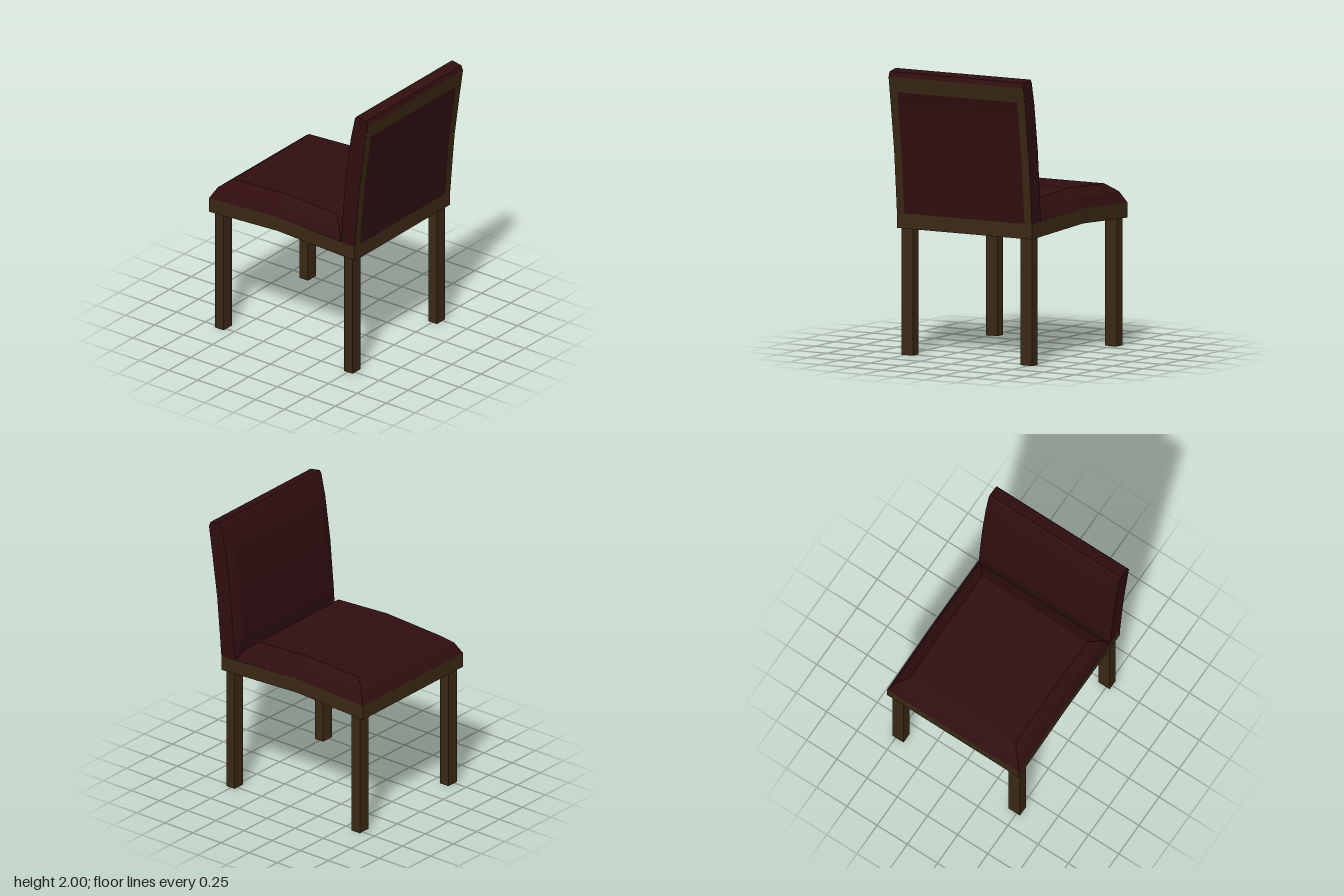
import * as THREE from 'three';

const HALF = 0.545; // half width of the chair along z

// Faces between stacked open or closed rings (counter-clockwise from above), with optional caps
function loft(rings, { closed = false, top = false, bottom = false } = {}) {
  const pos = [];
  const quad = (a, b, c, d) => pos.push(...a, ...b, ...c, ...a, ...c, ...d);
  for (let r = 0; r + 1 < rings.length; r++) {
    const a = rings[r], b = rings[r + 1], n = a.length;
    for (let i = 0; i < (closed ? n : n - 1); i++) {
      const j = (i + 1) % n;
      quad(a[i], a[j], b[j], b[i]);
    }
  }
  // Caps treat a six-point ring as two quads
  const cap = (p, flip) => {
    for (const q of [[0, 1, 4, 5], [1, 2, 3, 4]]) {
      if (flip) q.reverse();
      quad(...q.map((i) => p[i]));
    }
  };
  if (top) cap(rings[rings.length - 1], false);
  if (bottom) cap(rings[0], true);
  const geometry = new THREE.BufferGeometry();
  geometry.setAttribute('position', new THREE.Float32BufferAttribute(pos, 3));
  geometry.computeVertexNormals();
  return geometry;
}

// Rectangular seat ring with a raised middle
const seatRing = (x0, x1, z, y, rise) => [
  [x0, y, z], [-0.1, y + rise, z], [x1, y, z],
  [x1, y, -z], [-0.1, y + rise, -z], [x0, y, -z],
];

export function createModel() {
  const chair = new THREE.Group();
  chair.name = 'chair';
  const wood = new THREE.MeshStandardMaterial({ color: 0x3a2814, flatShading: true });
  const fabric = new THREE.MeshStandardMaterial({ color: 0x300e10, flatShading: true });
  const add = (name, geometry, material) => {
    const mesh = new THREE.Mesh(geometry, material);
    mesh.name = name;
    chair.add(mesh);
    return mesh;
  };

  // Seat: arched wooden apron, fabric underside, bevelled cushion
  const low = seatRing(-0.685, 0.573, HALF, 0.885, 0.03);
  const high = seatRing(-0.685, 0.573, HALF, 0.99, 0.03);
  add('seatApron', loft([low, high], { closed: true, top: true }), wood);
  add('seatUnderside', loft([low], { bottom: true }), fabric);
  add('seatCushion', loft([
    seatRing(-0.685, 0.45, HALF, 0.99, 0.03),
    seatRing(-0.64, 0.41, 0.505, 1.07, 0.027),
    seatRing(-0.56, 0.33, 0.435, 1.13, 0.025),
  ], { closed: true, top: true }), fabric);

  // Backrest rows: edge x, panel x, front y, panel half width, rear x, rear y
  const rows = [
    [0.455, 0.455, 0.99, HALF, 0.573, 0.99],
    [0.465, 0.44, 1.15, 0.47, 0.586, 1.15],
    [0.495, 0.47, 1.5, 0.47, 0.61, 1.43],
    [0.54, 0.52, 1.82, 0.47, 0.654, 1.75],
    [0.575, 0.575, 1.98, HALF, 0.683, 1.95],
    [0.59, 0.59, 2.0, HALF, 0.67, 1.985],
  ];
  add('backCushion', loft(rows.map(([edge, panel, y, z, rear, rearY]) => [
    [rear, rearY, -HALF], [edge, y, -HALF], [panel, y, -z],
    [panel, y, z], [edge, y, HALF], [rear, rearY, HALF],
  ]), { top: true }), fabric);

  // Rear face: wooden border around a flush fabric panel
  const lower = [[0.573, 0.99], [0.586, 1.15], [0.61, 1.43], [0.654, 1.75], [0.668, 1.845]];
  const strip = (points, z0, z1) => loft(points.map(([x, y]) => [[x, y, z1], [x, y, z0]]));
  add('backPanel', strip(lower, -0.485, 0.485), fabric);
  add('backFrameLeft', strip(lower, -HALF, -0.485), wood);
  add('backFrameRight', strip(lower, 0.485, HALF), wood);
  add('backFrameTop', strip([[0.668, 1.845], [0.683, 1.95]], -HALF, HALF), wood);
  add('backTopEdge', strip([[0.683, 1.95], [0.67, 1.985]], -HALF, HALF), fabric);

  // Four straight legs
  for (const [name, x] of [['frontLeg', -0.608], ['rearLeg', 0.505]]) {
    for (const side of [-1, 1]) {
      const leg = add(name, new THREE.BoxGeometry(0.073, 0.9, 0.093), wood);
      leg.position.set(x, 0.45, side * 0.482);
    }
  }
  return chair;
}
